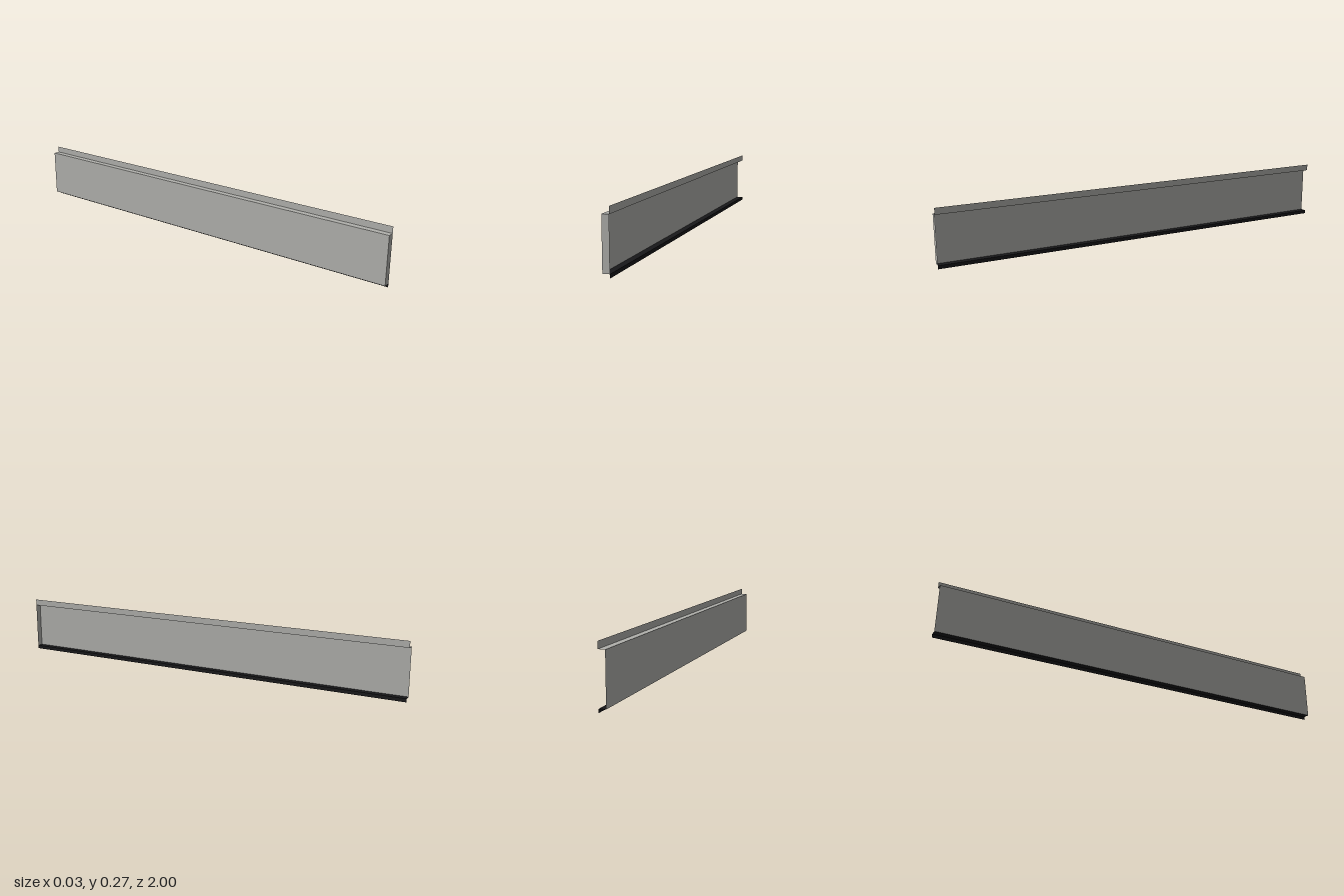
import * as THREE from 'three';

const LENGTH = 2;
const HALF = 0.015;   // half the depth of the folded profile
const FOLD_LOW = 0.016, FOLD_HIGH = 0.237, TOP = 0.267;

export function createModel() {
  const model = new THREE.Group();
  model.name = 'foldedPanel';

  const metal = new THREE.MeshStandardMaterial({ name: 'grey metal', color: 0xb0b0ac, side: THREE.DoubleSide });
  const rubber = new THREE.MeshStandardMaterial({ name: 'black rubber', color: 0x18181a, side: THREE.DoubleSide });

  function add(name, geometry, material) {
    const mesh = new THREE.Mesh(geometry, material);
    mesh.name = name;
    model.add(mesh);
  }

  // Thin sheet running the full length between two points of the profile
  function strip(name, [x0, y0], [x1, y1], material) {
    const geometry = new THREE.PlaneGeometry(Math.hypot(x1 - x0, y1 - y0), LENGTH)
      .rotateX(-Math.PI / 2)
      .rotateZ(Math.atan2(y1 - y0, x1 - x0))
      .translate((x0 + x1) / 2, (y0 + y1) / 2, 0);
    add(name, geometry, material);
  }

  // Folded sheet: upright web, top shelf and raised lip
  strip('mainPanel', [-HALF, FOLD_LOW], [-HALF, FOLD_HIGH], metal);
  strip('topFlange', [-HALF, FOLD_HIGH], [HALF, FOLD_HIGH], metal);
  strip('topLip', [HALF, FOLD_HIGH], [HALF, TOP], metal);

  // Dark lower fold and its hanging lip
  strip('bottomFlange', [-HALF, FOLD_LOW], [HALF, FOLD_LOW], rubber);
  strip('bottomLip', [HALF, FOLD_LOW], [HALF, 0], rubber);

  // Plate closing the front end only; the back end stays open
  const cap = new THREE.PlaneGeometry(2 * HALF, FOLD_HIGH - FOLD_LOW)
    .translate(0, (FOLD_HIGH + FOLD_LOW) / 2, LENGTH / 2);
  add('frontEndCap', cap, metal);

  return model;
}
